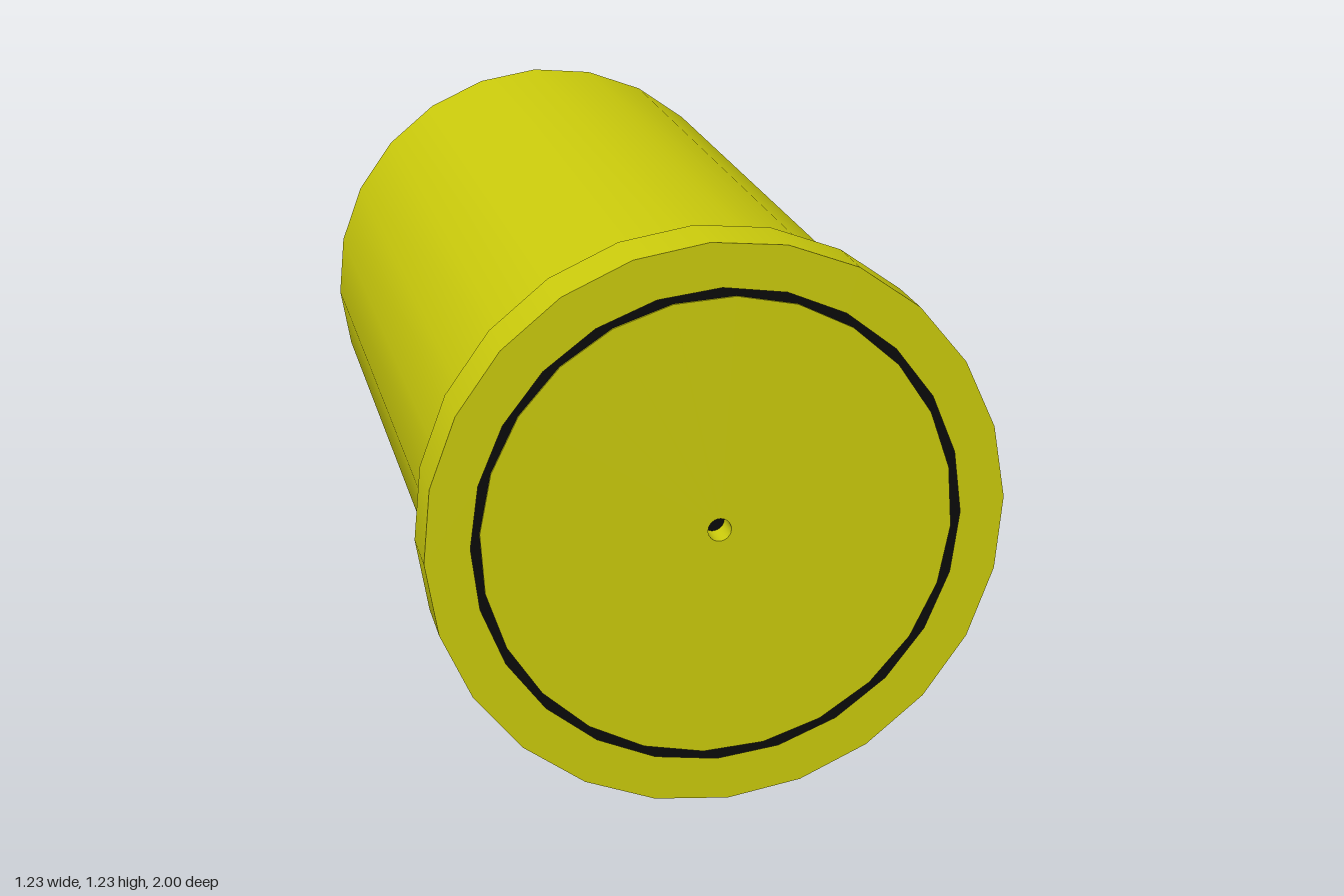
import * as THREE from 'three';
import { mergeGeometries } from 'three/addons/utils/BufferGeometryUtils.js';

const SIDES = 24;
const deg = Math.PI / 180;
const brass = new THREE.MeshStandardMaterial({ color: 0xcccc0c });
const paleBrass = new THREE.MeshStandardMaterial({ color: 0xd8d870 });
const black = new THREE.MeshStandardMaterial({ color: 0x0a0a0a });

// Turned part along z; every [radius, z] span is its own strip, so corners stay sharp.
function turned(name, profile, turn, material, sides = SIDES) {
  const strips = [];
  for (let i = 0; i < profile.length - 1; i++) {
    const pts = [profile[i], profile[i + 1]].map(([r, z]) => new THREE.Vector2(r, z));
    strips.push(new THREE.LatheGeometry(pts, sides, turn * deg, Math.PI * 2));
  }
  const geometry = mergeGeometries(strips);
  geometry.rotateX(Math.PI / 2);
  const mesh = new THREE.Mesh(geometry, material);
  mesh.name = name;
  return mesh;
}

// Corners of a regular polygon, turned clockwise from the top.
function polygon(radius, turn) {
  return Array.from({ length: SIDES }, (_, i) => {
    const a = turn * deg + (i / SIDES) * Math.PI * 2;
    return new THREE.Vector2(radius * Math.sin(a), radius * Math.cos(a));
  });
}

export function createModel() {
  const model = new THREE.Group();
  model.name = 'case';
  const R = 0.618, BODY = 0.57, BORE = 0.522, RIM_Z = 0.86, TURN = 2.4;

  // Hollow body, open at the back
  model.add(turned('body', [[0, RIM_Z], [BORE, RIM_Z], [BORE, -1], [BODY, -1], [BODY, RIM_Z]], TURN, brass));

  // Flange at the front with a pale shoulder behind it
  model.add(turned('shoulder', [[BODY - 0.01, RIM_Z], [R, RIM_Z]], TURN, paleBrass));
  model.add(turned('rim', [[R, RIM_Z], [R, 1]], TURN, brass));

  // Front face of the flange
  const face = new THREE.Shape(polygon(R, -TURN));
  face.holes.push(new THREE.Path(polygon(BORE, 0)));
  const rimFace = new THREE.Mesh(new THREE.ShapeGeometry(face), brass);
  rimFace.name = 'rimFace';
  rimFace.position.z = 1;
  model.add(rimFace);

  // Black gap around the end plate
  model.add(turned('gap', [[0.53, 0.996], [0.49, 0.996]], 0, black));

  // End plate with a small pit in the middle
  model.add(turned('endPlate', [[0.503, 0.98], [0.503, 1], [0.025, 1], [0.025, 0.94]], -3.4, brass));
  model.add(turned('pitFloor', [[0.025, 0.94], [0, 0.94]], -3.4, black));

  model.position.y = R;
  const root = new THREE.Group();
  root.name = 'model';
  root.add(model);
  return root;
}
